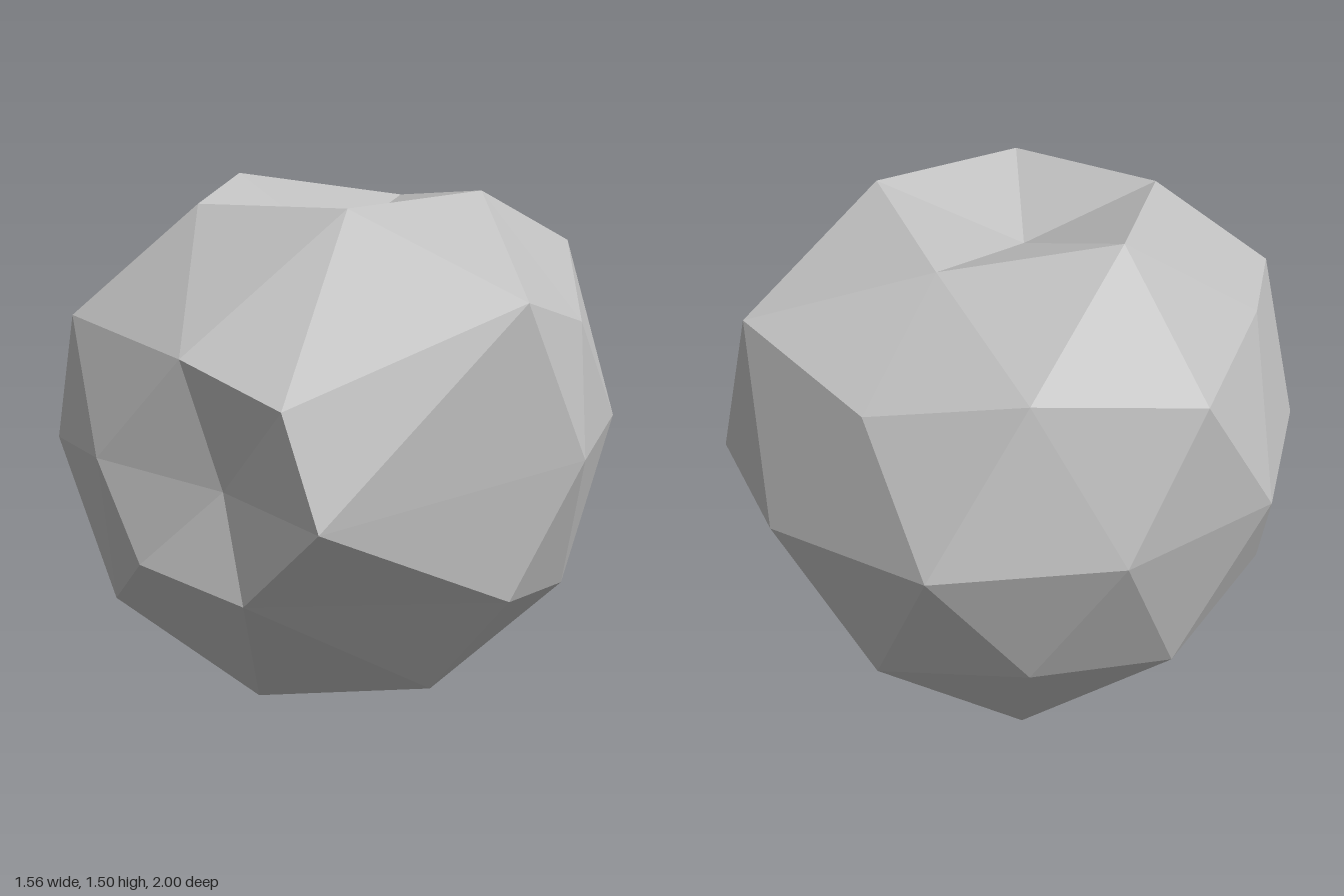
import * as THREE from 'three';

// Cross-sections from bottom to top, each running from +x towards +z.
const bottom = [0, 0, 0.03];
const base = [
  [0.33, 0.12, 0.28], [-0.13, 0.12, 0.43], [-0.41, 0.12, 0.03],
  [-0.13, 0.12, -0.51], [0.33, 0.12, -0.33],
];
const lower = [
  [0.57, 0.44, 0.45], [-0.06, 0.52, 0.89], [-0.35, 0.6, 0.83], [-0.54, 0.38, 0.43],
  [-0.7, 0.44, 0.03], [-0.55, 0.38, -0.51], [-0.22, 0.44, -0.79], [0.21, 0.38, -0.76],
  [0.39, 0.55, -0.38], [0.67, 0.38, 0.03], // the ninth point is the dent at the back
];
const middle = [
  [0.16, 0.75, 1], [-0.13, 0.8, 0.81], [-0.46, 0.88, 0.83], [-0.75, 0.8, 0.27],
  [-0.78, 0.8, -0.34], [-0.48, 0.8, -0.8], [0, 0.8, -1], [0.48, 0.8, -0.8],
  [0.78, 0.8, -0.34], [0.75, 0.8, 0.27], // the second point is the dent in the front
];
const upper = [
  [0.61, 1.26, 0.47], [0.06, 1.05, 0.97], [-0.23, 1.15, 0.85], [-0.63, 1.19, 0.48],
  [-0.67, 1.21, 0.01], [-0.64, 1.18, -0.6], [-0.22, 1.22, -0.79], [0.21, 1.16, -0.82],
  [0.61, 1.29, -0.58], [0.71, 1.14, 0.02],
];
const crown = [
  [0.12, 1.49, 0.43], [-0.33, 1.475, 0.27], [-0.36, 1.5, -0.33],
  [0.11, 1.43, -0.47], [0.42, 1.5, 0.01],
];
const top = [0, 1.34, 0.04]; // sunken top

export function createModel() {
  const positions = [];
  const tri = (a, b, c, flip) => positions.push(...a, ...(flip ? c : b), ...(flip ? b : c));

  // Belt of triangles between the ten-sided rings
  for (let i = 0; i < 10; i++) {
    const n = (i + 1) % 10;
    tri(lower[n], lower[i], middle[i]);
    tri(middle[i], middle[n], lower[n]);
    tri(upper[i], upper[n], middle[i]);
    tri(middle[n], middle[i], upper[n]);
  }

  // Cap: a five-sided ring joined to a ten-sided ring and closed by a pole
  const cap = (pole, five, ten, shift, flip) => {
    for (let j = 0; j < 5; j++) {
      const p = five[j], q = five[(j + 1) % 5];
      const at = (k) => ten[(2 * j + shift + k + 10) % 10];
      tri(pole, p, q, flip);
      tri(p, at(1), q, flip);
      tri(p, at(0), at(1), flip);
      tri(p, at(-1), at(0), flip);
    }
  };
  cap(bottom, base, lower, 0, false);
  cap(top, crown, upper, 1, true);

  const geometry = new THREE.BufferGeometry();
  geometry.setAttribute('position', new THREE.Float32BufferAttribute(positions, 3));
  geometry.computeVertexNormals(); // unshared corners give flat facets

  const stone = new THREE.MeshStandardMaterial({ color: 0xc0c0c0 });
  stone.name = 'stone grey';
  stone.flatShading = true;

  const rock = new THREE.Mesh(geometry, stone);
  rock.name = 'rock';
  const group = new THREE.Group();
  group.name = 'boulder';
  group.add(rock);
  return group;
}
